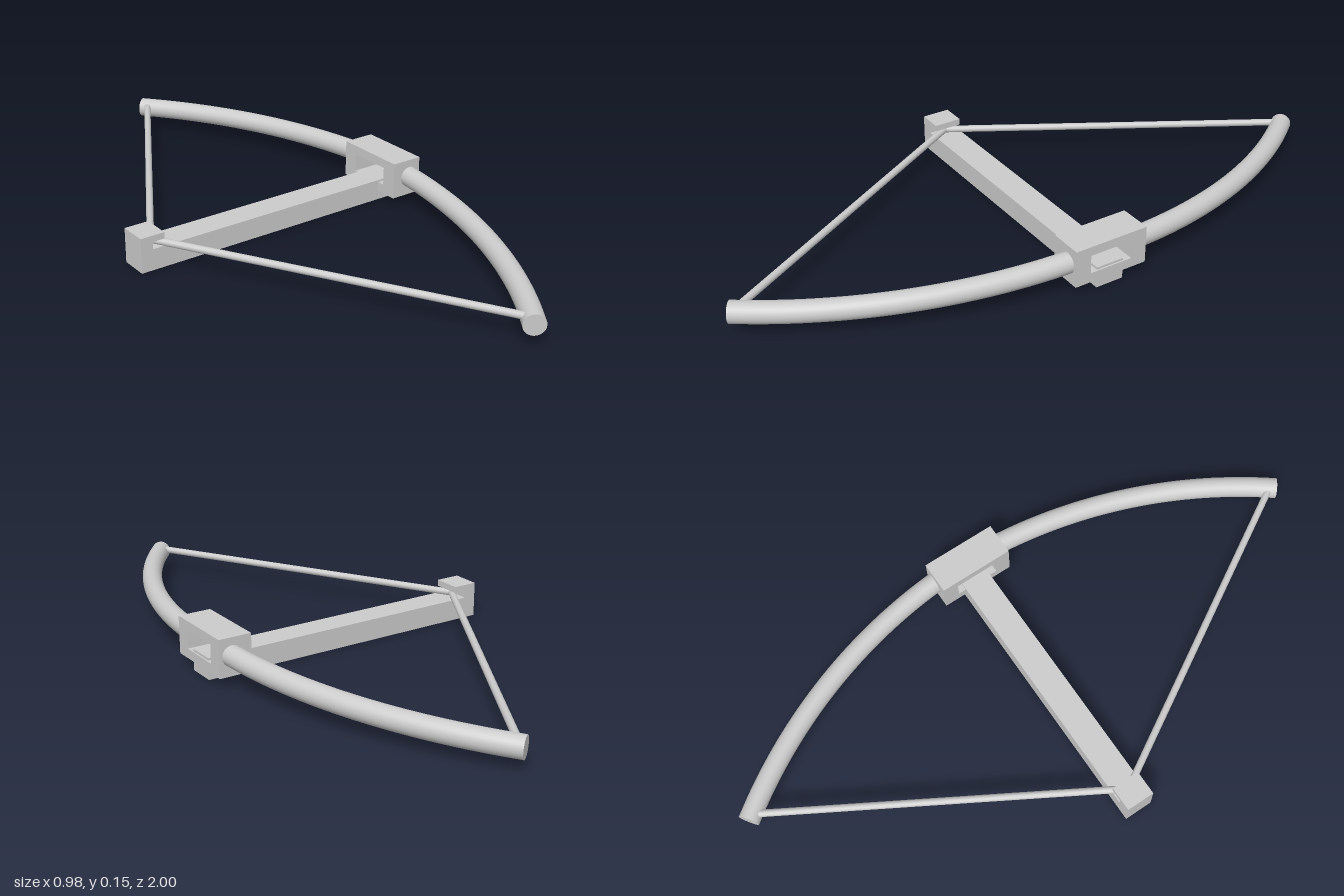
import * as THREE from 'three';

const material = new THREE.MeshStandardMaterial({ color: 0xcccccc });

function add(parent, name, geometry) {
  const mesh = new THREE.Mesh(geometry, material);
  mesh.name = name;
  parent.add(mesh);
  return mesh;
}

function extrude(shape, depth) {
  const geometry = new THREE.ExtrudeGeometry(shape, { depth, bevelEnabled: false });
  return geometry.translate(0, 0, -depth / 2);
}

function polygon(points) {
  return new THREE.Shape(points.map(([x, y]) => new THREE.Vector2(x, y)));
}

function rectangle(x0, x1, y0, y1) {
  return polygon([[x0, y0], [x1, y0], [x1, y1], [x0, y1]]);
}

// Straight round bar between two points
function rod(a, b, radius, sides) {
  const direction = b.clone().sub(a);
  const geometry = new THREE.CylinderGeometry(radius, radius, direction.length(), sides);
  geometry.applyQuaternion(new THREE.Quaternion().setFromUnitVectors(
    new THREE.Vector3(0, 1, 0), direction.clone().normalize()));
  const mid = a.clone().add(b).multiplyScalar(0.5);
  return geometry.translate(mid.x, mid.y, mid.z);
}

export function createModel() {
  const model = new THREE.Group();
  model.name = 'crossbow';

  // Stock with the hooked string catch at its rear end
  add(model, 'stock', extrude(polygon([
    [-0.49, 0], [0.485, 0], [0.485, 0.067], [-0.45, 0.067],
    [-0.45, 0.09], [-0.411, 0.09], [-0.411, 0.11], [-0.49, 0.11],
  ]), 0.09));

  // Block holding the limbs, with a window through it along the stock
  const block = rectangle(-0.12, 0.12, 0.03, 0.147);
  block.holes.push(rectangle(-0.07, 0.07, 0.06, 0.118));
  add(model, 'limbBlock', extrude(block, 0.104).rotateY(Math.PI / 2).translate(0.438, 0, 0));

  // Curved limbs and string, one of each per side
  const limbRadius = 0.032, arcRadius = 1.61;
  const nock = new THREE.Vector3(-0.432, 0.076, 0);
  for (const side of [1, -1]) {
    const sideName = side > 0 ? 'front' : 'back';
    const points = [];
    for (let i = 0; i <= 12; i++) {
      const angle = THREE.MathUtils.lerp(0.062, 0.654, i / 12);
      const z = arcRadius * Math.sin(angle);
      const x = 0.453 - arcRadius * (1 - Math.cos(angle));
      points.push(new THREE.Vector3(x, 0.095 - 0.0315 * z, side * z));
    }
    const path = new THREE.CatmullRomCurve3(points);
    add(model, sideName + 'Limb', new THREE.TubeGeometry(path, 32, limbRadius, 32));

    // Flat cap closing the limb tip
    const tip = path.getPointAt(1);
    const cap = add(model, sideName + 'LimbCap', new THREE.CircleGeometry(limbRadius, 32));
    cap.position.copy(tip);
    cap.quaternion.setFromUnitVectors(new THREE.Vector3(0, 0, 1), path.getTangentAt(1));

    const anchor = new THREE.Vector3(tip.x + 0.005, 0.076, tip.z - side * 0.025);
    add(model, sideName + 'String', rod(nock, anchor, 0.011, 16));
  }
  return model;
}
